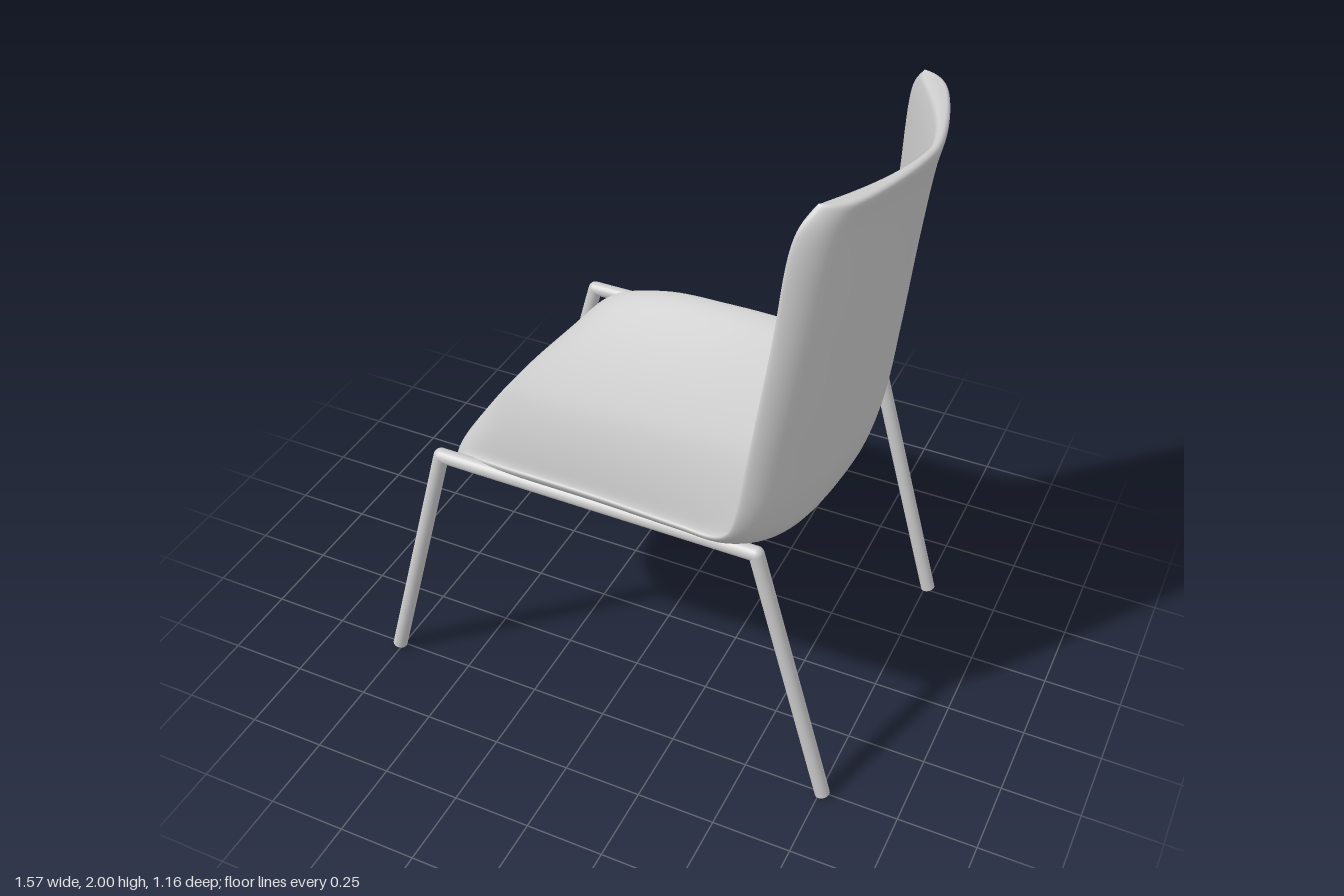
import * as THREE from 'three';

const material = new THREE.MeshStandardMaterial({ color: 0xcccccc });
const thinMaterial = new THREE.MeshStandardMaterial({ color: 0xcccccc, side: THREE.DoubleSide });

// Shell stations from seat front to top of back: centre x, y, then rim x, y, z
const stations = [
  [-0.612, 0.757, -0.52, 0.81, 0.425],
  [-0.52, 0.757, -0.44, 0.9, 0.487],
  [-0.3, 0.766, -0.26, 0.942, 0.53],
  [0, 0.78, 0, 0.95, 0.54],
  [0.3, 0.799, 0.28, 0.945, 0.548],
  [0.475, 0.823, 0.4, 0.955, 0.562],
  [0.58, 0.875, 0.45, 1.0, 0.577],
  [0.63, 0.98, 0.475, 1.08, 0.58],
  [0.662, 1.2, 0.495, 1.25, 0.56],
  [0.707, 1.6, 0.53, 1.6, 0.507],
  [0.748, 1.9, 0.56, 1.92, 0.455],
  [0.77, 2.0, 0.6, 2.0, 0.408],
];
const centre = new THREE.CatmullRomCurve3(stations.map((s) => new THREE.Vector3(s[0], s[1], 0)));
const rim = new THREE.CatmullRomCurve3(stations.map((s) => new THREE.Vector3(s[2], s[3], s[4])));

// How far a section has risen from centre (0) to rim (1); inner face dished, outer face fuller
function rise(s, t, outer) {
  const a = Math.abs(t);
  const dish = Math.pow(a, 1.6);
  const seatBelly = Math.pow(a, 3.4);
  const wingedBack = 0.68 * Math.pow(a, 1.55) + 0.32 * Math.pow(a, 14);
  const belly = THREE.MathUtils.lerp(seatBelly, wingedBack, THREE.MathUtils.smoothstep(s, 0.47, 0.68));
  return THREE.MathUtils.lerp(dish, belly, outer);
}

// s runs front to top, t runs from -1 to 1 across, outer blends inner to outer face
function surfacePoint(s, t, outer) {
  const c = centre.getPoint(s), e = rim.getPoint(s);
  const f = rise(s, t, outer);
  return new THREE.Vector3(c.x + (e.x - c.x) * f, Math.min(2, c.y + (e.y - c.y) * f), e.z * t);
}

function surfaceNormal(s, t, outer) {
  const d = 0.004;
  const at = (u, v) => surfacePoint(THREE.MathUtils.clamp(u, 0, 1), THREE.MathUtils.clamp(v, -1, 1), outer);
  const across = at(s, t + d).sub(at(s, t - d));
  const along = at(s + d, t).sub(at(s - d, t));
  return across.cross(along).normalize();
}

// Closed shell: each row loops over the inner face and back under the outer face
function shellGeometry(rows = 112, loop = 112, halfThickness = 0.015) {
  const positions = [], indices = [];
  for (let j = 0; j <= rows; j++) {
    const s = (1 - Math.cos((Math.PI * j) / rows)) / 2;
    const endTaper = Math.sqrt(Math.max(0, 1 - Math.pow(2 * s - 1, 70)));
    for (let i = 0; i < loop; i++) {
      const a = (2 * Math.PI * i) / loop;
      const t = Math.cos(a);
      const side = Math.sign(Math.sin(a));
      const rimTaper = Math.sqrt(Math.max(0, 1 - Math.pow(t, 20)));
      // Both faces meet on the outer curve at the two ends
      const outer = side > 0 ? 1 - endTaper : 1;
      const p = surfacePoint(s, t, outer);
      p.addScaledVector(surfaceNormal(s, t, outer), halfThickness * endTaper * rimTaper * side);
      positions.push(p.x, Math.min(2, p.y), p.z);
      if (j < rows) {
        const n = (i + 1) % loop, r = j * loop, q = r + loop;
        indices.push(r + i, q + i, r + n, r + n, q + i, q + n);
      }
    }
  }
  const geometry = new THREE.BufferGeometry();
  geometry.setAttribute('position', new THREE.Float32BufferAttribute(positions, 3));
  geometry.setIndex(indices);
  geometry.computeVertexNormals();
  return geometry;
}

// Round bar between two points
const radius = 0.0235;
function bar(name, a, b) {
  const mesh = new THREE.Mesh(new THREE.CylinderGeometry(radius, radius, a.distanceTo(b), 20), material);
  mesh.name = name;
  mesh.position.copy(a).add(b).multiplyScalar(0.5);
  mesh.quaternion.setFromUnitVectors(new THREE.Vector3(0, 1, 0), b.clone().sub(a).normalize());
  return mesh;
}

function joint(name, p) {
  const mesh = new THREE.Mesh(new THREE.SphereGeometry(radius, 20, 14), material);
  mesh.name = name;
  mesh.position.copy(p);
  return mesh;
}

// One side of the frame: two splayed legs joined by a rail
function sideFrame(name, z) {
  const group = new THREE.Group();
  group.name = name;
  const frontFoot = new THREE.Vector3(-0.76, 0.006, z), frontTop = new THREE.Vector3(-0.52, 0.895, z);
  const rearTop = new THREE.Vector3(0.512, 0.893, z), rearFoot = new THREE.Vector3(0.76, 0.006, z);
  group.add(
    bar('frontLeg', frontFoot, frontTop),
    bar('seatRail', frontTop, rearTop),
    bar('rearLeg', rearTop, rearFoot),
    joint('frontJoint', frontTop),
    joint('rearJoint', rearTop),
  );
  return group;
}

export function createModel() {
  const chair = new THREE.Group();
  chair.name = 'chair';
  const shell = new THREE.Mesh(shellGeometry(), thinMaterial);
  shell.name = 'seatShell';
  chair.add(shell, sideFrame('leftFrame', 0.508), sideFrame('rightFrame', -0.508));
  return chair;
}
